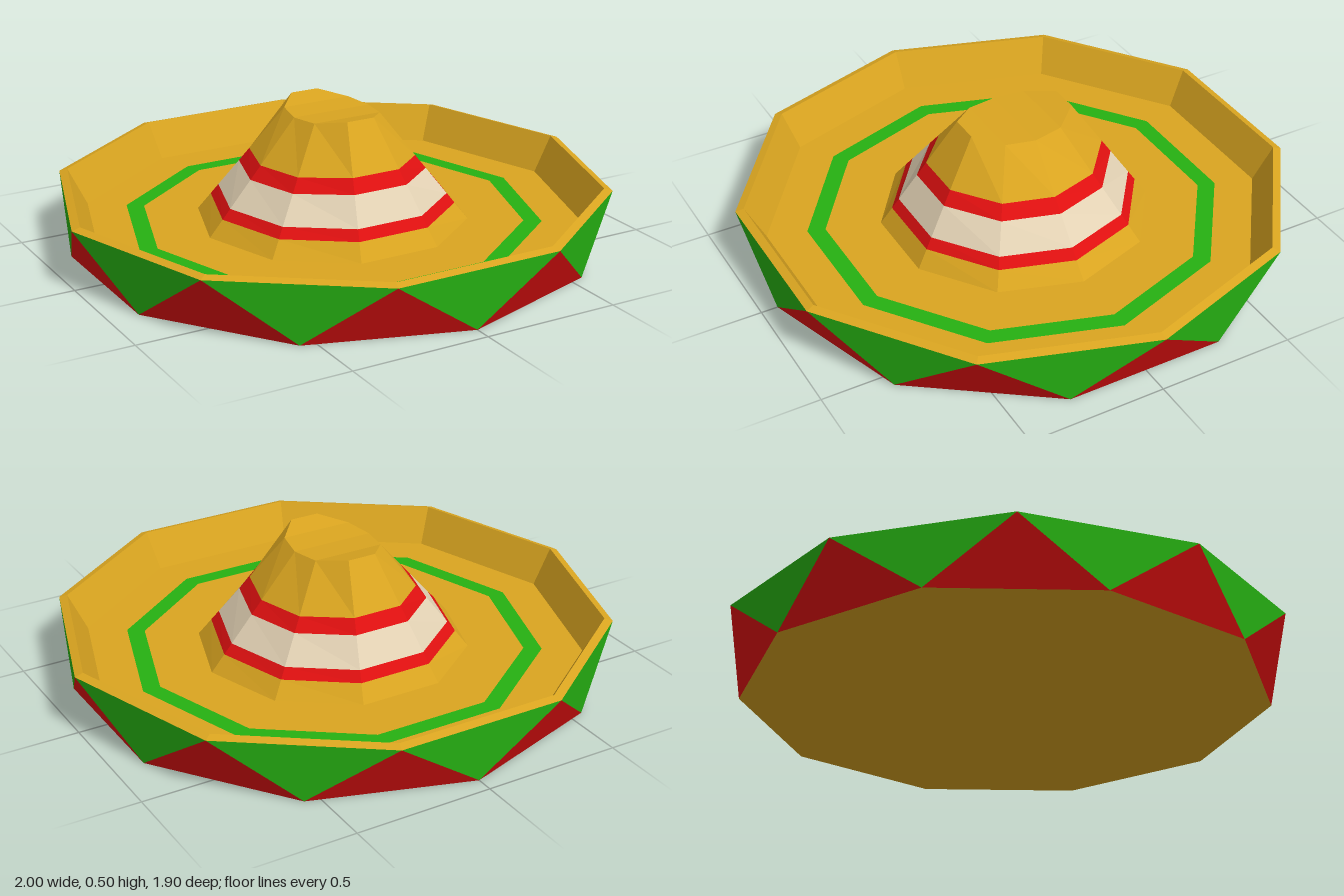
import * as THREE from 'three';

const SIDES = 10;
const STEP = (Math.PI * 2) / SIDES;

function material(name, color) {
  const m = new THREE.MeshStandardMaterial({ color });
  m.name = name;
  return m;
}

// ten-sided ring of points; turn is a fraction of one side
function ring(radius, y, turn = 0) {
  return Array.from({ length: SIDES }, (_, i) => {
    const a = (i + turn) * STEP;
    return new THREE.Vector3(Math.cos(a) * radius, y, Math.sin(a) * radius);
  });
}

const quad = (a, b, c, d) => [a, b, c, a, c, d];

// faces joining one ring to the next
const band = (from, to) => from.flatMap((p, i) => {
  const j = (i + 1) % SIDES;
  return quad(p, to[i], to[j], from[j]);
});

// flat-shaded mesh from a list of triangle corners
function facets(name, points, mat) {
  const geometry = new THREE.BufferGeometry().setFromPoints(points);
  geometry.computeVertexNormals();
  const mesh = new THREE.Mesh(geometry, mat);
  mesh.name = name;
  return mesh;
}

export function createModel() {
  const hat = new THREE.Group();
  hat.name = 'sombrero';
  const straw = material('straw gold', 0xdaa520);
  const green = material('green', 0x26b012);
  const red = material('red', 0xe01010);
  const cream = material('cream', 0xe4d3b5);

  // outer brim wall: alternating green and red triangles
  const bottom = ring(0.94, 0, 0.5);
  const edge = ring(1, 0.214);
  const next = (r, i) => r[(i + 1) % SIDES];
  hat.add(facets('brimGreenTriangles',
    bottom.flatMap((b, i) => [b, edge[i], next(edge, i)]), green));
  hat.add(facets('brimRedTriangles',
    bottom.flatMap((b, i) => [b, next(edge, i), next(bottom, i)]), red));

  // flat underside
  const centre = new THREE.Vector3(0, 0, 0);
  hat.add(facets('underside',
    bottom.flatMap((b, i) => [centre, b, next(bottom, i)]), straw));

  // upper brim, from the lip inwards
  const floorY = 0.09;
  const brim = [
    ['brimLip', edge, ring(0.97, 0.223), straw],
    ['brimInnerWall', ring(0.97, 0.223), ring(0.9, floorY), straw],
    ['brimOuterFloor', ring(0.9, floorY), ring(0.755, floorY), straw],
    ['brimGreenStripe', ring(0.755, floorY), ring(0.69, floorY), green],
    ['brimInnerFloor', ring(0.69, floorY), ring(0.49, floorY), straw],
  ];
  for (const [name, from, to, mat] of brim) hat.add(facets(name, band(from, to), mat));

  // crown top: a narrow saddle, mirrored from one quarter
  const quarter = [[0.152, 0.477, 0], [0.132, 0.482, 0.11], [0.053, 0.5, 0.2]];
  const top = Array.from({ length: SIDES }, (_, i) => {
    const half = i % 5;
    const flip = half > 2;
    const [x, y, z] = quarter[flip ? 5 - half : half];
    const s = i < 5 ? 1 : -1;
    return new THREE.Vector3((flip ? -x : x) * s, y, z * s);
  });

  // crown sides: straight loft split into coloured bands
  const base = ring(0.49, floorY);
  const level = (t) => base.map((p, i) => p.clone().lerp(top[i], t));
  const crown = [
    ['crownFoot', 0, 0.15, straw],
    ['crownLowerRedBand', 0.15, 0.24, red],
    ['crownCreamBand', 0.24, 0.48, cream],
    ['crownUpperRedBand', 0.48, 0.6, red],
    ['crownUpper', 0.6, 1, straw],
  ];
  for (const [name, t0, t1, mat] of crown) {
    hat.add(facets(name, band(level(t0), level(t1)), mat));
  }

  // saddle cap in strips from front to back
  const rows = [[2, 3], [1, 4], [0, 5], [9, 6], [8, 7]];
  const cap = rows.slice(1).flatMap(([r1, l1], i) => {
    const [r0, l0] = rows[i];
    return quad(top[r0], top[r1], top[l1], top[l0]);
  });
  hat.add(facets('crownCap', cap, straw));

  return hat;
}
